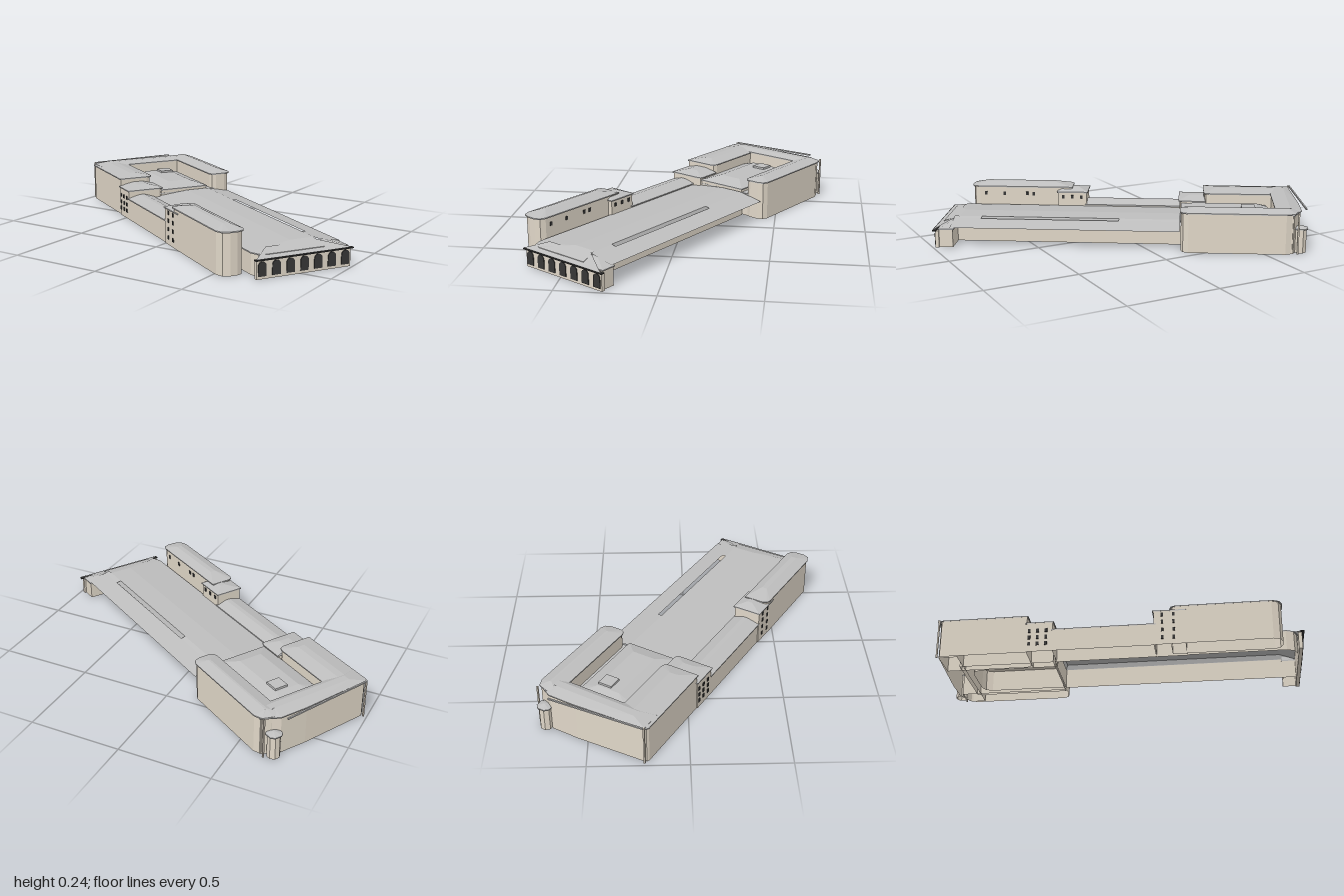
import * as THREE from 'three';

const mat = (name, color) => {
  const m = new THREE.MeshStandardMaterial({ color, side: THREE.DoubleSide });
  m.name = name;
  m.flatShading = true;
  return m;
};

export function createModel() {
  const wallMat = mat('beige wall', 0xe0d7c8);
  const roofMat = mat('grey roof', 0xbebebe);
  const darkMat = mat('dark opening', 0x363636);

  // all parts are laid out along the long axis, then turned as a whole
  const model = new THREE.Group();
  model.name = 'buildingComplex';
  const site = new THREE.Group();
  site.name = 'site';
  site.rotation.y = -31.8 * Math.PI / 180;
  model.add(site);

  const add = (name, geo, material, parent = site) => {
    const m = new THREE.Mesh(geo, material);
    m.name = name;
    parent.add(m);
    return m;
  };
  const geoFrom = (pos) => {
    const g = new THREE.BufferGeometry();
    g.setAttribute('position', new THREE.Float32BufferAttribute(pos, 3));
    g.computeVertexNormals();
    return g;
  };
  const quad = (a, b, c, d) => [...a, ...b, ...c, ...a, ...c, ...d];
  // strip of quads between two closed rings of [x, y, z]
  const band = (lower, upper) => lower.flatMap((a, i) => {
    const j = (i + 1) % lower.length;
    return quad(a, lower[j], upper[j], upper[i]);
  });
  // footprint rectangle with cut corners: [frontLeft, frontRight, backRight, backLeft]
  const plan = (x0, x1, z0, z1, cut = [0, 0, 0, 0]) => {
    const pts = [];
    const corners = [[x0, z1, 1, -1], [x1, z1, -1, -1], [x1, z0, -1, 1], [x0, z0, 1, 1]];
    corners.forEach(([x, z, sx, sz], i) => {
      const c = cut[i];
      if (!c) { pts.push([x, z]); return; }
      const a = [x, z + sz * c], m = [x + sx * c * 0.3, z + sz * c * 0.3], b = [x + sx * c, z];
      pts.push(...(i % 2 ? [b, m, a] : [a, m, b]));
    });
    return pts;
  };
  // walls and a hipped roof; ridge is the box [x0, x1, z0, z1] the slopes climb to
  const block = (name, pts, eave, top, ridge, over = 0.006) => {
    const g = new THREE.Group();
    g.name = name;
    site.add(g);
    const ring = (y, f) => pts.map(([x, z]) => { const p = f(x, z); return [p[0], y, p[1]]; });
    const same = (x, z) => [x, z];
    const cx = pts.reduce((s, p) => s + p[0], 0) / pts.length;
    const cz = pts.reduce((s, p) => s + p[1], 0) / pts.length;
    const out = (x, z) => [x + Math.sign(x - cx) * over, z + Math.sign(z - cz) * over];
    const clamp = THREE.MathUtils.clamp;
    const inner = (x, z) => [clamp(x, ridge[0], ridge[1]), clamp(z, ridge[2], ridge[3])];
    add(name + 'Walls', geoFrom(band(ring(0, same), ring(eave, same))), wallMat, g);
    const lip = ring(eave - 0.003, out), edge = ring(eave + 0.003, out), crown = ring(top, inner);
    const roof = [...band(ring(eave, same), lip), ...band(lip, edge), ...band(edge, crown)];
    for (let i = 1; i < crown.length - 1; i++) roof.push(...crown[0], ...crown[i], ...crown[i + 1]);
    add(name + 'Roof', geoFrom(roof), roofMat, g);
  };
  // grid of thin window plates on a wall of constant z
  const windows = (name, xs, ys, z, w = 0.014, h = 0.02) => {
    const g = new THREE.Group();
    g.name = name;
    site.add(g);
    for (const x of xs) for (const y of ys) {
      add('window', new THREE.BoxGeometry(w, h, 0.004), darkMat, g).position.set(x, y, z);
    }
  };
  const span = (a, b, n) => Array.from({ length: n }, (_, i) => a + (b - a) * i / (n - 1));

  // west building: three tall wings round a lower court with a hall in it
  block('westWing', [[-0.94, 0.325], [-0.84, 0.325], [-0.84, -0.29], [-0.92, -0.29], [-0.965, -0.2], [-0.965, -0.05]],
    0.212, 0.232, [-0.91, -0.87, -0.25, 0.25]);
  block('northWing', plan(-0.945, -0.335, -0.302, -0.18, [0, 0.03, 0.04, 0.06]), 0.215, 0.237, [-0.9, -0.4, -0.25, -0.24]);
  block('southWing', plan(-0.94, -0.465, 0.15, 0.34, [0.02, 0, 0.03, 0]), 0.208, 0.228, [-0.88, -0.53, 0.22, 0.26]);
  block('southEndBlock', plan(-0.465, -0.325, 0.14, 0.345, [0, 0, 0.02, 0]), 0.165, 0.188, [-0.46, -0.38, 0.21, 0.27]);
  block('court', plan(-0.86, -0.345, -0.2, 0.2), 0.13, 0.132, [-0.85, -0.35, -0.19, 0.19]);
  add('courtCeiling', new THREE.BoxGeometry(0.51, 0.004, 0.395), wallMat).position.set(-0.602, 0.12, 0);
  block('centralHall', plan(-0.81, -0.34, -0.145, 0.14, [0.05, 0, 0, 0.05]), 0.15, 0.18, [-0.75, -0.42, -0.07, 0.06]);
  add('skylight', new THREE.BoxGeometry(0.075, 0.012, 0.075), roofMat).position.set(-0.7, 0.185, -0.035);

  // small turret at the north-west corner
  const turret = Array.from({ length: 8 }, (_, i) => {
    const a = -i * Math.PI / 4 + 0.4;
    return [-0.965 + 0.034 * Math.cos(a), -0.24 + 0.034 * Math.sin(a)];
  });
  block('cornerTurret', turret, 0.13, 0.145, [-0.97, -0.96, -0.245, -0.235]);
  // thin cornice and posts on the west side
  const cornice = add('westCornice', new THREE.BoxGeometry(0.008, 0.008, 0.52), roofMat);
  cornice.position.set(-0.977, 0.218, 0.07);
  cornice.rotation.y = 0.085;
  for (const [x, z] of [[-0.95, 0.33], [-0.95, -0.29]]) {
    add('cornerPost', new THREE.BoxGeometry(0.008, 0.22, 0.008), wallMat).position.set(x, 0.11, z);
  }

  // long low hall; its north roof strip overhangs a recessed wall, with an open slit
  block('longHall', plan(-0.335, 0.955, -0.155, 0.205, [0, 0.06, 0, 0]), 0.109, 0.138, [-0.33, 0.87, -0.15, -0.02], 0.004);
  const strip = (x0, x1, z0, y0, z1, y1) => quad([x0, y0, z1], [x1, y0, z1], [x1, y1, z0], [x0, y1, z0]);
  add('northRoofStrip', geoFrom([
    ...strip(-0.33, 0.9, -0.288, 0.132, -0.175, 0.109),
    ...strip(-0.33, 0, -0.175, 0.138, -0.15, 0.132),
    ...strip(0.75, 0.9, -0.175, 0.138, -0.15, 0.132),
  ]), roofMat);
  block('cornerRoom', plan(0.885, 0.958, -0.285, -0.155), 0.1, 0.125, [0.88, 0.9, -0.2, -0.155]);
  block('southGallery', plan(-0.325, 0.215, 0.2, 0.345), 0.12, 0.143, [-0.32, 0.21, 0.255, 0.28]);

  // tall south-east wing with a wider block at its west end
  block('eastEndBlock', plan(0.21, 0.375, 0.2, 0.35), 0.192, 0.215, [0.26, 0.34, 0.25, 0.28]);
  block('southEastWing', plan(0.3, 0.875, 0.225, 0.352, [0.03, 0.05, 0.04, 0]), 0.214, 0.238, [0.4, 0.79, 0.27, 0.3]);

  // outside windows
  windows('southEndWindows', [-0.45, -0.405, -0.36], [0.045, 0.082, 0.12], 0.347);
  windows('eastEndWindows', [0.255, 0.315], [0.04, 0.085, 0.13, 0.172], 0.352, 0.012);
  windows('eastEndBackWindows', span(0.24, 0.345, 3), [0.165], 0.198);
  windows('wingBackWindows', [0.52, 0.56, 0.69, 0.8], [0.175], 0.223);
  // windows on the inner face of the south walls
  windows('wingInnerWindows', span(0.4, 0.82, 10), [0.045], 0.348, 0.016, 0.028);
  windows('galleryInnerWindows', span(-0.29, 0.18, 12), [0.045], 0.341, 0.016, 0.028);
  windows('southWingInnerWindows', span(-0.88, -0.5, 9), [0.045], 0.336, 0.016, 0.028);

  // arcade closing the east end: wall, dark arches, cornice and lean-to roof
  const arcade = new THREE.Group();
  arcade.name = 'arcade';
  site.add(arcade);
  add('arcadeWall', new THREE.BoxGeometry(0.02, 0.092, 0.515), wallMat, arcade).position.set(0.968, 0.046, -0.038);
  add('arcadeCornice', new THREE.BoxGeometry(0.02, 0.006, 0.535), darkMat, arcade).position.set(0.981, 0.095, -0.038);
  const arch = new THREE.Shape();
  arch.moveTo(-0.022, 0.014);
  arch.lineTo(0.022, 0.014);
  arch.lineTo(0.022, 0.064);
  arch.absarc(0, 0.064, 0.022, 0, Math.PI, false);
  const archGeo = new THREE.ExtrudeGeometry(arch, { depth: 0.005, bevelEnabled: false, curveSegments: 8 });
  for (const z of span(-0.265, 0.19, 7)) {
    const a = add('arch', archGeo, darkMat, arcade);
    a.position.set(0.977, 0, z);
    a.rotation.y = Math.PI / 2;
  }
  add('arcadeRoof', geoFrom(quad([0.985, 0.1, 0.225], [0.985, 0.1, -0.295], [0.9, 0.13, -0.16], [0.9, 0.13, 0.13])),
    roofMat, arcade);

  return model;
}
